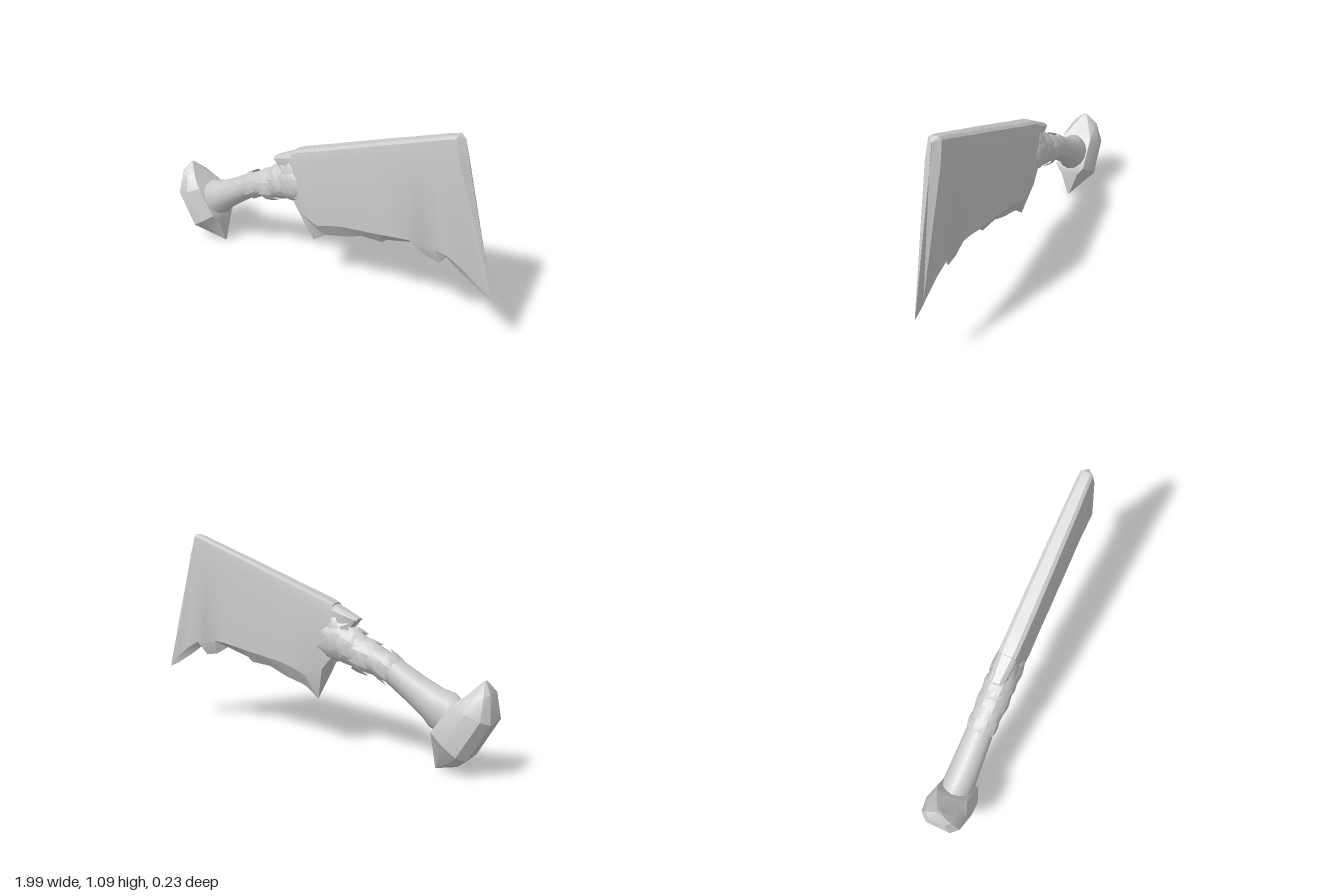
import * as THREE from 'three';
import { toCreasedNormals } from 'three/addons/utils/BufferGeometryUtils.js';

const V = (x, y, z) => new THREE.Vector3(x, y, z);

// Skin a list of equal-length rings and close both ends.
function loft(rings, crease = 0.5, capped = true) {
  const n = rings[0].length;
  const pos = rings.flat().flatMap((p) => [p.x, p.y, p.z]);
  const idx = [];
  for (let r = 0; r < rings.length - 1; r++) {
    for (let i = 0; i < n; i++) {
      const j = (i + 1) % n, a = r * n, b = a + n;
      idx.push(a + i, a + j, b + j, a + i, b + j, b + i);
    }
  }
  const last = (rings.length - 1) * n;
  for (let i = 1; capped && i < n - 1; i++) {
    idx.push(0, i + 1, i, last, last + i, last + i + 1);
  }
  const g = new THREE.BufferGeometry();
  g.setAttribute('position', new THREE.Float32BufferAttribute(pos, 3));
  g.setIndex(idx);
  return toCreasedNormals(g, crease);
}

// Blade section: rounded spine, flat flanks, bevel down to a sharp edge.
function bladeRing([tx, ty, bx, by, ex, ey, hT, hB]) {
  const k = 0.16;
  const sx = tx + (bx - tx) * k, sy = ty + (by - ty) * k;
  const m = ty - 0.012;
  return [
    V(tx, ty, -hT * 0.5), V(tx, ty, hT * 0.5), V(tx, m, hT * 0.85), V(sx, sy, hT),
    V(bx, by, hB), V(ex, ey, 0), V(bx, by, -hB),
    V(sx, sy, -hT), V(tx, m, -hT * 0.85),
  ];
}

// Handle centre line: x, y, radius in the blade plane, radius across it.
const GRIP = [
  [-0.84, 0.23, 0.085, 0.075], [-0.74, 0.29, 0.105, 0.083], [-0.69, 0.32, 0.085, 0.08],
  [-0.6, 0.375, 0.074, 0.076], [-0.48, 0.45, 0.066, 0.07], [-0.4, 0.485, 0.072, 0.075],
  [-0.33, 0.51, 0.082, 0.078], [-0.24, 0.545, 0.09, 0.078], [-0.16, 0.565, 0.1, 0.072],
  [-0.1, 0.57, 0.07, 0.05],
];

// Elliptical ring around a centre, tilted by angle in the blade plane.
function ellipse(x, y, ry, rz, tilt, n = 14, slide = () => 0) {
  return Array.from({ length: n }, (_, i) => {
    const a = (i / n) * Math.PI * 2, c = Math.cos(a) * ry, s = slide(i);
    return V(
      x - Math.sin(tilt) * c + Math.cos(tilt) * s,
      y + Math.cos(tilt) * c + Math.sin(tilt) * s,
      Math.sin(a) * rz,
    );
  });
}

let seed = 7;
const rand = () => (seed = (seed * 16807) % 2147483647) / 2147483647;

// Torn strap: a thin sleeve with jagged borders.
function strap(x, y, ry, rz, tilt, width, tear) {
  const edge = (side) => ellipse(x, y, ry * 0.95, rz * 0.95, tilt, 16,
    (i) => side * (width / 2 + (i % 2 ? tear * (0.4 + 0.6 * rand()) : 0)));
  const mid = ellipse(x, y, ry, rz, tilt, 16, () => (rand() - 0.5) * 0.02);
  return loft([edge(-1), mid, edge(1)], 0.4, false);
}

export function createModel() {
  const group = new THREE.Group();
  const mat = new THREE.MeshStandardMaterial({ color: 0xcccccc });
  const thin = new THREE.MeshStandardMaterial({ color: 0xcccccc, side: THREE.DoubleSide });
  const add = (name, geo, m = mat) => {
    const mesh = new THREE.Mesh(geo, m);
    mesh.name = name;
    group.add(mesh);
  };

  // Blade stations: spine point, bevel point, edge point, half thicknesses.
  add('blade', loft([
    [-0.16, 0.76, -0.15, 0.48, -0.14, 0.44, 0.052, 0.045],
    [-0.13, 0.775, -0.1, 0.42, -0.05, 0.25, 0.056, 0.048],
    [-0.02, 0.815, 0.01, 0.38, 0.02, 0.305, 0.056, 0.046],
    [0.08, 0.85, 0.09, 0.41, 0.06, 0.32, 0.055, 0.045],
    [0.15, 0.877, 0.16, 0.43, 0.15, 0.345, 0.054, 0.044],
    [0.27, 0.92, 0.28, 0.45, 0.26, 0.39, 0.052, 0.043],
    [0.37, 0.957, 0.38, 0.465, 0.38, 0.4, 0.05, 0.04],
    [0.42, 0.975, 0.43, 0.475, 0.41, 0.425, 0.049, 0.04],
    [0.52, 1.01, 0.55, 0.495, 0.55, 0.465, 0.047, 0.037],
    [0.58, 1.033, 0.62, 0.5, 0.63, 0.42, 0.046, 0.034],
    [0.63, 1.05, 0.69, 0.49, 0.705, 0.41, 0.044, 0.03],
    [0.66, 1.062, 0.75, 0.48, 0.73, 0.46, 0.043, 0.027],
    [0.7, 1.076, 0.83, 0.44, 0.82, 0.4, 0.042, 0.021],
    [0.745, 1.09, 0.93, 0.37, 0.94, 0.33, 0.038, 0.01],
    [0.775, 1.075, 0.985, 0.325, 0.99, 0.31, 0.004, 0.001],
  ].map(bladeRing), 0.4));

  // Stub of the spine running back over the grip
  add('tang', loft([
    [-0.29, 0.69, -0.25, 0.64, -0.24, 0.62, 0.036, 0.03],
    [-0.21, 0.73, -0.2, 0.6, -0.19, 0.56, 0.046, 0.04],
    [-0.12, 0.77, -0.11, 0.58, -0.1, 0.52, 0.054, 0.05],
  ].map(bladeRing)));

  // Handle
  add('handle', loft(GRIP.map(([x, y, ry, rz], i) => {
    const p = GRIP[Math.max(i - 1, 0)], q = GRIP[Math.min(i + 1, GRIP.length - 1)];
    return ellipse(x, y, ry, rz, Math.atan2(q[1] - p[1], q[0] - p[0]));
  }), 0.7));

  // Torn wrappings on the grip and where it meets the blade
  [
    [-0.45, 0.465, 0.078, 0.08, 0.6, 0.05, 0.03],
    [-0.33, 0.505, 0.092, 0.085, 0.3, 0.06, 0.03],
    [-0.25, 0.55, 0.1, 0.084, 0.45, 0.04, 0.03],
    [-0.17, 0.575, 0.115, 0.084, 0.1, 0.06, 0.05],
    [-0.18, 0.6, 0.13, 0.072, -0.15, 0.03, 0.03],
  ].forEach((s, i) => add(`wrap${i + 1}`, strap(...s), thin));

  // Pommel stations down its long axis: inner point, outer point, half depth.
  add('pommel', loft([
    [-0.935, 0.45, -0.95, 0.455, 0.015],
    [-0.875, 0.385, -0.985, 0.4, 0.075],
    [-0.82, 0.345, -1.0, 0.27, 0.115],
    [-0.72, 0.2, -0.89, 0.08, 0.117],
    [-0.712, 0.15, -0.84, 0.04, 0.07],
    [-0.715, 0.0, -0.73, 0.004, 0.006],
  ].map(([ix, iy, ox, oy, h]) => {
    const at = (t, z) => V(ix + (ox - ix) * t, iy + (oy - iy) * t, z * h);
    return [at(0, -0.75), at(0, 0.75), at(0.4, 1), at(0.8, 0.95), at(1, 0.6),
      at(1, -0.6), at(0.8, -0.95), at(0.4, -1)];
  }), 0.5));

  return group;
}
